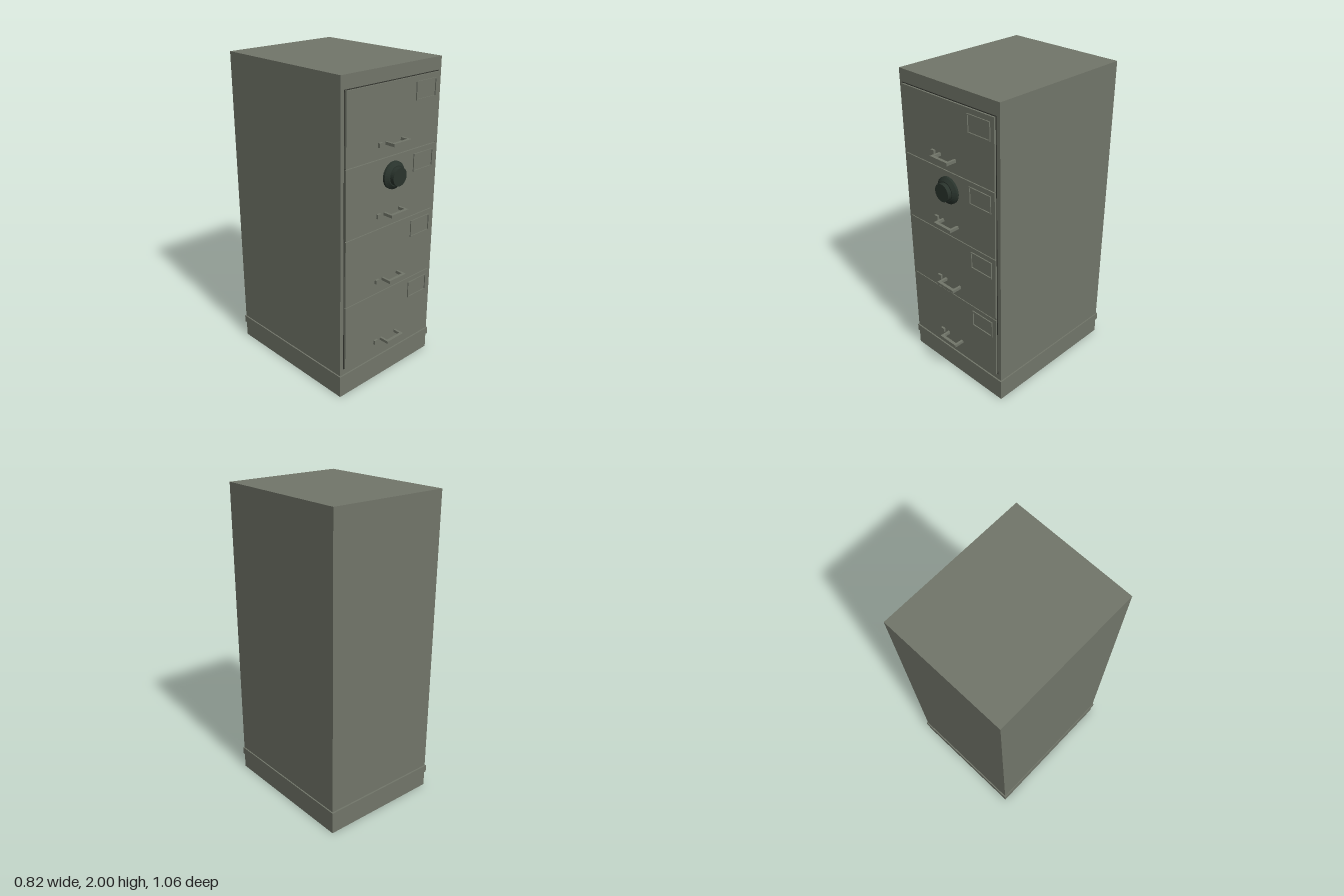
import * as THREE from 'three';

export function createModel() {
  const cabinet = new THREE.Group();
  cabinet.name = 'filingSafe';
  const paint = new THREE.MeshStandardMaterial({ color: 0x717569 });
  paint.name = 'greyGreenPaint';
  const shade = new THREE.MeshStandardMaterial({ color: 0x363832 });
  shade.name = 'darkRecess';
  const dark = new THREE.MeshStandardMaterial({ color: 0x29332c });
  dark.name = 'darkDial';
  // Painted box with a dark underside
  const darkBelow = [paint, paint, paint, shade, paint, paint];

  // Box given by its minimum and maximum corners
  function box(name, parent, material, [x0, y0, z0], [x1, y1, z1]) {
    const mesh = new THREE.Mesh(new THREE.BoxGeometry(x1 - x0, y1 - y0, z1 - z0), material);
    mesh.position.set((x0 + x1) / 2, (y0 + y1) / 2, (z0 + z1) / 2);
    mesh.name = name;
    parent.add(mesh);
  }

  const points = (list) => list.map(([x, y]) => new THREE.Vector2(x, y));
  const rectangle = (w, h) => points([[-w / 2, -h / 2], [w / 2, -h / 2], [w / 2, h / 2], [-w / 2, h / 2]]);

  // Plinth, protruding band and main case, with hairline seams between
  box('plinth', cabinet, darkBelow, [-0.405, 0, -0.521], [0.405, 0.101, 0.445]);
  box('baseBand', cabinet, darkBelow, [-0.411, 0.104, -0.529], [0.411, 0.152, 0.452]);
  box('case', cabinet, darkBelow, [-0.405, 0.155, -0.521], [0.405, 2, 0.445]);

  // Dark backing seen in the gaps around the drawers
  box('drawerRecess', cabinet, shade, [-0.38, 0.195, 0.441], [0.38, 1.922, 0.4465]);

  // Bracket handle outline, seen from above
  const bracket = new THREE.Shape(points([
    [-0.072, 0], [-0.072, 0.07], [0.072, 0.07], [0.072, 0],
    [0.057, 0], [0.057, 0.05], [-0.057, 0.05], [-0.057, 0],
  ]));
  const handleGeometry = new THREE.ExtrudeGeometry(bracket, { depth: 0.018, bevelEnabled: false });
  handleGeometry.rotateX(Math.PI / 2);

  // Thin rectangular frame that holds a label
  const frame = new THREE.Shape(rectangle(0.172, 0.11));
  frame.holes.push(new THREE.Path(rectangle(0.16, 0.098)));
  const frameGeometry = new THREE.ExtrudeGeometry(frame, { depth: 0.008, bevelEnabled: false });

  // Four drawers, each with label frame, handle and latch
  for (let i = 0; i < 4; i++) {
    const drawer = new THREE.Group();
    drawer.name = 'drawer' + (i + 1);
    drawer.position.y = 0.2 + i * 0.4305;
    box('drawerFront', drawer, paint, [-0.375, 0, 0.44], [0.375, 0.425, 0.458]);
    box('latch', drawer, paint, [-0.131, 0.07, 0.457], [-0.103, 0.097, 0.472]);
    const label = new THREE.Mesh(frameGeometry, paint);
    label.name = 'labelFrame';
    label.position.set(0.261, 0.34, 0.457);
    const handle = new THREE.Mesh(handleGeometry, paint);
    handle.name = 'handle';
    handle.position.set(0, 0.093, 0.457);
    drawer.add(label, handle);
    cabinet.add(drawer);
  }

  // Combination dial: bevelled flange and round knob
  const profile = points([[0, 0], [0.084, 0], [0.084, 0.015], [0.062, 0.032], [0.056, 0.032], [0.056, 0.058], [0, 0.058]]);
  const dialGeometry = new THREE.LatheGeometry(profile, 32).toNonIndexed();
  dialGeometry.computeVertexNormals();
  const dial = new THREE.Mesh(dialGeometry, dark);
  dial.name = 'combinationDial';
  dial.rotation.x = Math.PI / 2;
  dial.position.set(0, 1.37, 0.457);
  cabinet.add(dial);

  return cabinet;
}
